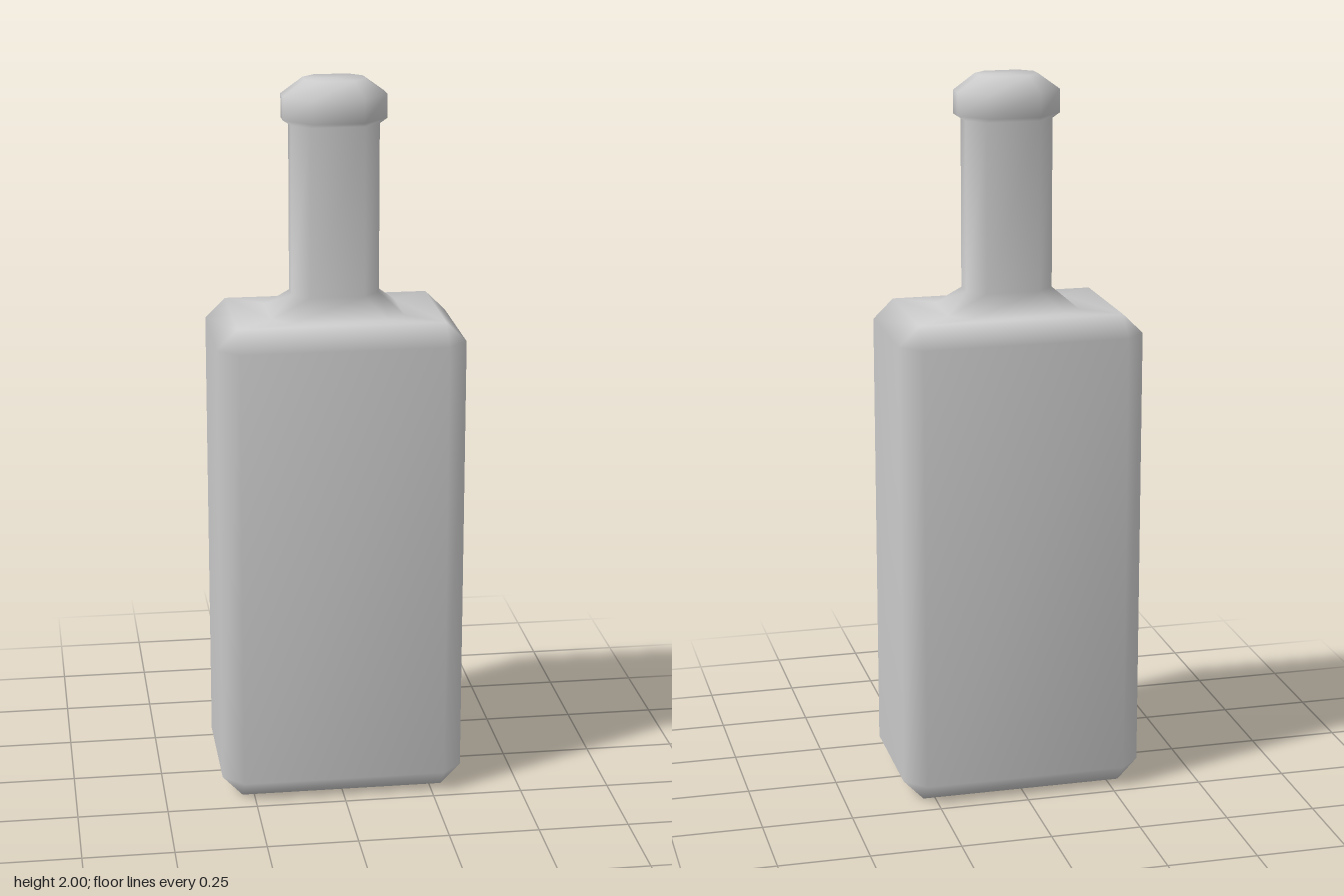
import * as THREE from 'three';
import { mergeVertices } from 'three/addons/utils/BufferGeometryUtils.js';

// Corners of a rectangle with cut corners, at height y
function ring([y, hx, hz, cut]) {
  const x = hx - cut, z = hz - cut;
  return [
    [hx, y, -z], [hx, y, z], [x, y, hz], [-x, y, hz],
    [-hx, y, z], [-hx, y, -z], [-x, y, -hz], [x, y, -hz],
  ];
}

// Smooth skin through stacked sections, closed at both ends
function loft(sections) {
  const n = 8;
  const positions = sections.flatMap((s) => ring(s).flat());
  const index = [];
  const last = (sections.length - 1) * n;
  for (let r = 0; r < last; r += n) {
    for (let i = 0; i < n; i++) {
      const a = r + i, b = r + ((i + 1) % n);
      index.push(a, a + n, b, b, a + n, b + n);
    }
  }
  const bottom = positions.length / 3;
  positions.push(0, sections[0][0], 0, 0, sections.at(-1)[0], 0);
  for (let i = 0; i < n; i++) {
    const j = (i + 1) % n;
    index.push(bottom, i, j, bottom + 1, last + j, last + i);
  }
  let geometry = new THREE.BufferGeometry();
  geometry.setAttribute('position', new THREE.Float32BufferAttribute(positions, 3));
  geometry.setIndex(index);
  geometry = mergeVertices(geometry, 1e-4); // joins the pointed corners
  // Drop the triangles that collapsed at those corners
  const old = geometry.index.array, kept = [];
  for (let i = 0; i < old.length; i += 3) {
    const [a, b, c] = [old[i], old[i + 1], old[i + 2]];
    if (a !== b && b !== c && c !== a) kept.push(a, b, c);
  }
  geometry.setIndex(kept);
  geometry.computeVertexNormals();
  return geometry;
}

export function createModel() {
  const group = new THREE.Group();
  group.name = 'bottle';
  const material = new THREE.MeshStandardMaterial({ color: 0xcccccc });

  // One continuous skin: [height, half width, half depth, corner cut]
  const bottle = new THREE.Mesh(loft([
    // body
    [0, 0.283, 0.17, 0],
    [0.058, 0.339, 0.226, 0.056],
    [1.305, 0.339, 0.226, 0.056],
    [1.36, 0.283, 0.17, 0],
    // flared foot of the neck
    [1.362, 0.182, 0.136, 0.05],
    [1.415, 0.12, 0.076, 0.046],
    // neck
    [1.88, 0.12, 0.076, 0.046],
    // lip
    [1.893, 0.141, 0.099, 0.072],
    [1.957, 0.141, 0.099, 0.072],
    [2, 0.082, 0.06, 0.035],
  ]), material);
  bottle.name = 'bottleBodyNeckAndLip';
  group.add(bottle);
  return group;
}
